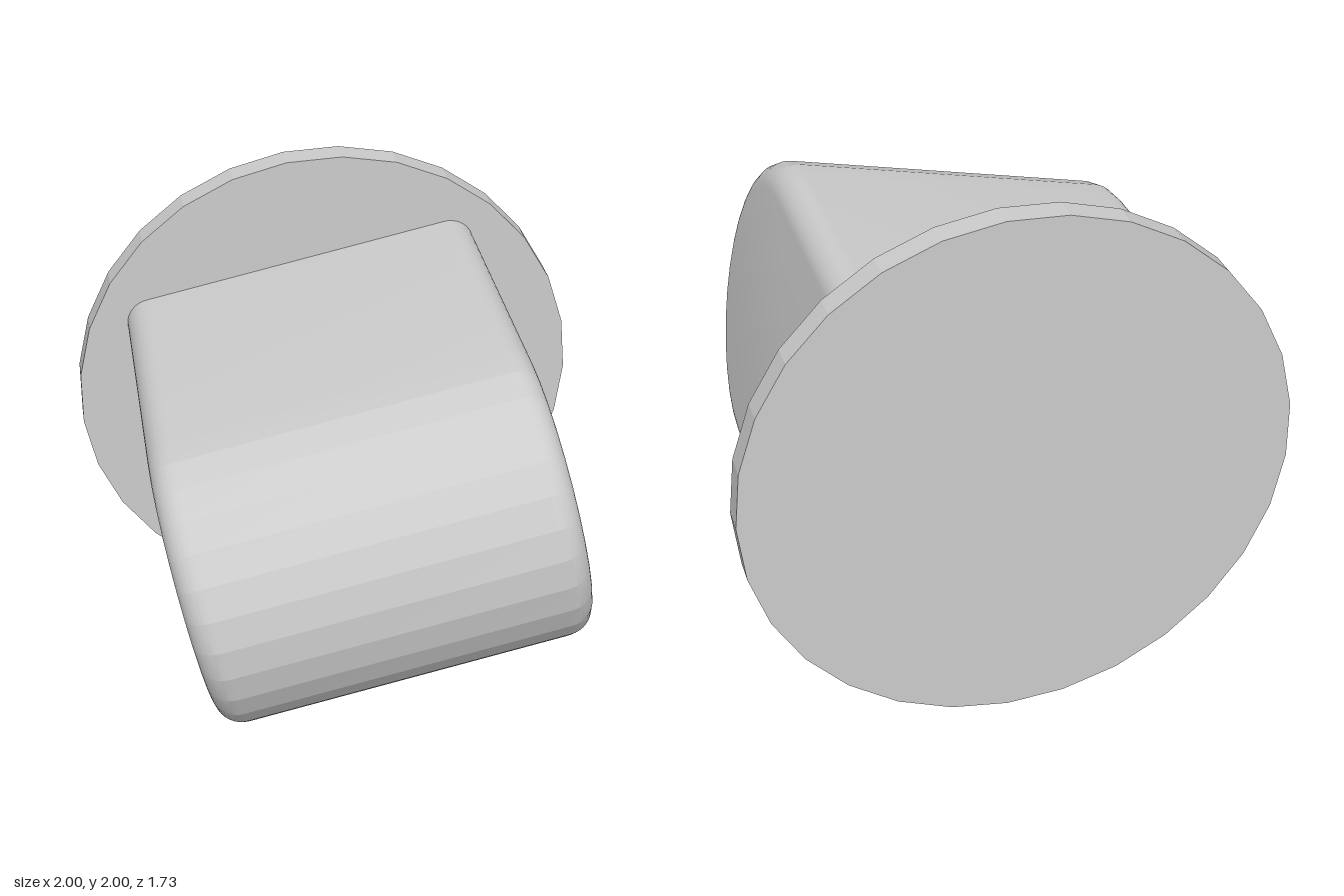
import * as THREE from 'three';
import { toCreasedNormals } from 'three/addons/utils/BufferGeometryUtils.js';

const HALF_WIDTH = 0.705, RADIUS = 0.58, BEVEL = 0.1;
const ARC_Z = 0.28, BACK_Z = -0.8, ARC_STEPS = 15, BEVEL_STEPS = 9;

// U-shaped cross-section: flat bottom, rounded nose, flat top
function section(x, inset) {
  const r = RADIUS - inset;
  const points = [[x, -r, BACK_Z]];
  for (let i = 0; i <= ARC_STEPS; i++) {
    const a = -Math.PI / 2 + (Math.PI * i) / ARC_STEPS;
    points.push([x, r * Math.sin(a), ARC_Z + r * Math.cos(a)]);
  }
  points.push([x, r, BACK_Z]);
  return points;
}

function bodyGeometry() {
  // sections from side to side, shrinking through the rounded edges
  const rows = [];
  for (const side of [-1, 1]) {
    for (let i = 0; i <= BEVEL_STEPS; i++) {
      const k = side < 0 ? i : BEVEL_STEPS - i;
      const a = (Math.PI / 2) * (k / BEVEL_STEPS);
      const x = side * (HALF_WIDTH - BEVEL * (1 - Math.cos(a)));
      rows.push(section(x, BEVEL * (1 - Math.sin(a))));
    }
  }
  const n = rows[0].length, last = rows.length - 1;
  const index = [];
  for (let i = 0; i < last; i++) {
    for (let j = 0; j < n - 1; j++) {
      const a = i * n + j, b = a + n;
      index.push(a, b, b + 1, a, b + 1, a + 1);
    }
  }
  // flat side faces
  for (let j = 1; j < n - 1; j++) {
    index.push(0, j, j + 1);
    index.push(last * n, last * n + j + 1, last * n + j);
  }
  const geometry = new THREE.BufferGeometry();
  geometry.setAttribute('position', new THREE.Float32BufferAttribute(rows.flat(2), 3));
  geometry.setIndex(index);
  return toCreasedNormals(geometry, THREE.MathUtils.degToRad(11));
}

export function createModel() {
  const grey = new THREE.MeshStandardMaterial({ color: 0xcccccc });
  grey.name = 'light grey';

  const model = new THREE.Group();
  model.name = 'roundedBlockOnDisc';

  // both parts share a very slight lean
  const assembly = new THREE.Group();
  assembly.name = 'assembly';
  assembly.position.y = 1.003;
  assembly.rotation.set(-0.004, 0.0075, 0);
  model.add(assembly);

  // faceted back disc
  const discGeometry = new THREE.CylinderGeometry(1, 1, 0.1, 29).toNonIndexed();
  discGeometry.computeVertexNormals();
  discGeometry.rotateX(Math.PI / 2);
  discGeometry.rotateZ(THREE.MathUtils.degToRad(89));
  const disc = new THREE.Mesh(discGeometry, grey);
  disc.name = 'backDisc';
  disc.position.z = -0.805;
  assembly.add(disc);

  // tilted block with a rounded nose
  const body = new THREE.Mesh(bodyGeometry(), grey);
  body.name = 'roundedBody';
  body.rotation.z = THREE.MathUtils.degToRad(11.7);
  assembly.add(body);

  return model;
}
